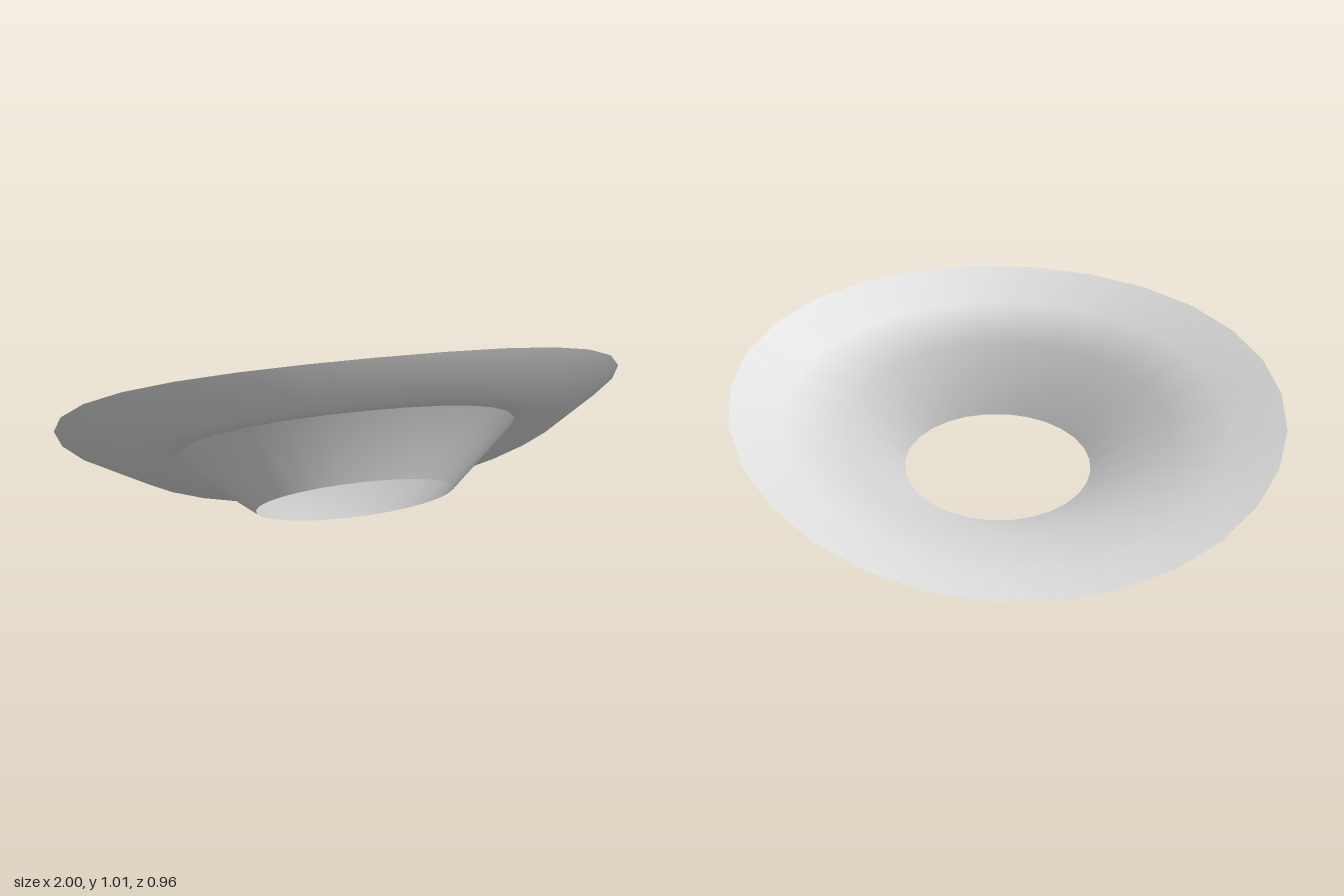
import * as THREE from 'three';

const SEGMENTS = 28;

// Rings in the tilted frame: half-width (x), half-length (u) about u0,
// depth n = c + k * u * u (saddle curve)
const rim = { rx: 1.0, ru: 0.697, u0: 0, c: -0.092, k: 0.188 };
const slope = { rx: 0.8, ru: 0.55, u0: 0, c: -0.03, k: 0.188 };
const lip = { rx: 0.77, ru: 0.535, u0: 0, c: 0.046, k: 0.188 };
const root = { rx: 0.6, ru: 0.402, u0: 0, c: 0.042, k: 0.188 };
const mouth = { rx: 0.348, ru: 0.224, u0: -0.016, c: 0.254, k: 0.06 };

// Smooth skin through a list of rings
function skin(rings) {
  const position = [];
  const index = [];
  for (const r of rings) {
    for (let j = 0; j < SEGMENTS; j++) {
      const a = (j / SEGMENTS) * Math.PI * 2;
      const u = r.u0 + r.ru * Math.sin(a);
      const n = r.c + r.k * u * u;
      position.push(r.rx * Math.cos(a), 0.505 + 0.725 * u - 0.69 * n, 0.69 * u + 0.725 * n);
    }
  }
  for (let i = 0; i < rings.length - 1; i++) {
    for (let j = 0; j < SEGMENTS; j++) {
      const k = (j + 1) % SEGMENTS;
      const p = i * SEGMENTS;
      const q = p + SEGMENTS;
      index.push(p + j, p + k, q + j, p + k, q + k, q + j);
    }
  }
  const geometry = new THREE.BufferGeometry();
  geometry.setAttribute('position', new THREE.Float32BufferAttribute(position, 3));
  geometry.setIndex(index);
  geometry.computeVertexNormals();
  return geometry;
}

export function createModel() {
  const group = new THREE.Group();
  group.name = 'flaredDish';
  const material = new THREE.MeshStandardMaterial({ color: 0xcccccc, side: THREE.DoubleSide });

  const addPart = (name, rings) => {
    const mesh = new THREE.Mesh(skin(rings), material);
    mesh.name = name;
    group.add(mesh);
  };

  // Thin-walled funnel flaring out into the dished upper face
  addPart('funnelAndUpperFace', [mouth, root, slope, rim]);

  // Bevelled rim and flange underside
  addPart('rimAndUnderside', [rim, lip, root]);

  return group;
}
